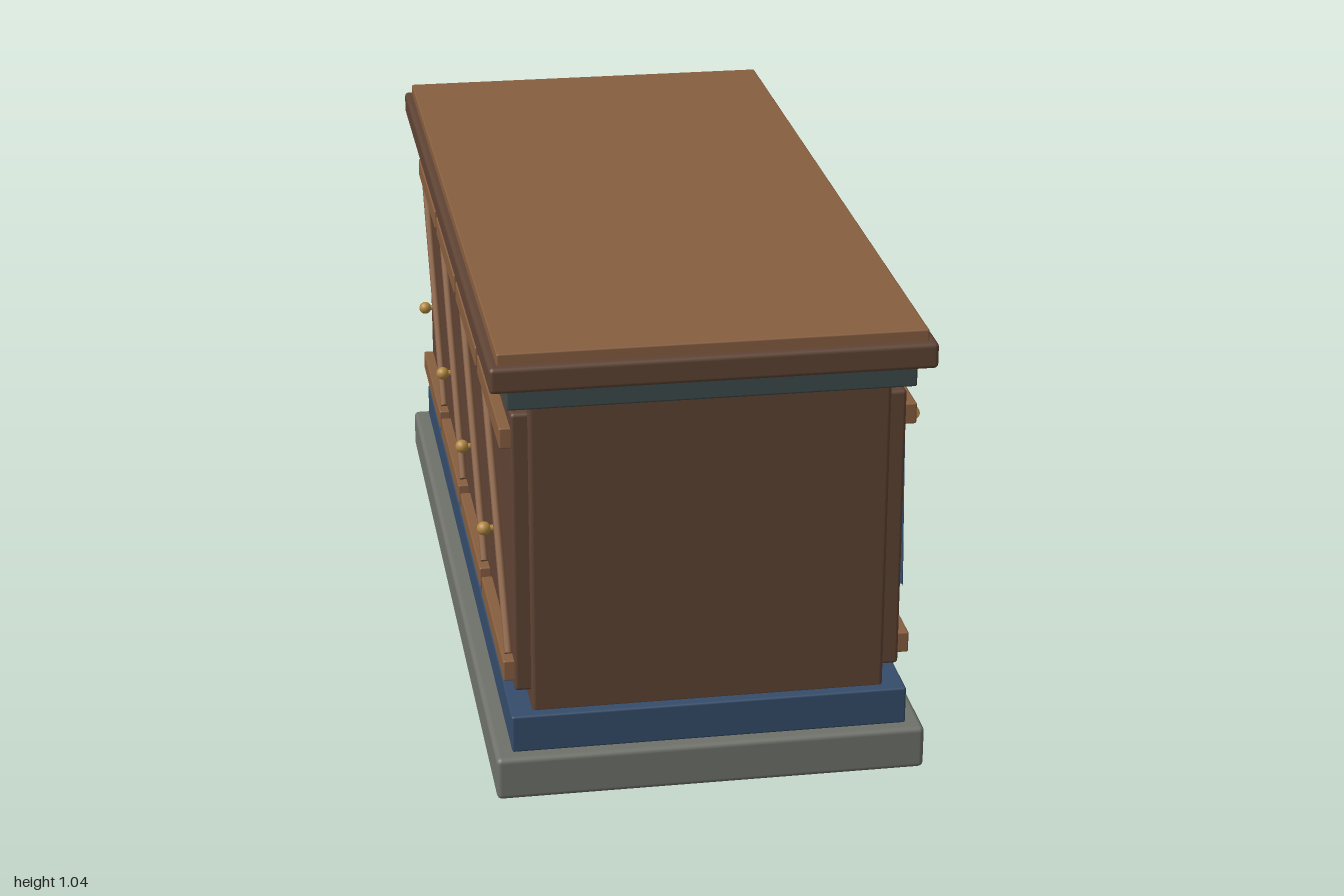
import * as THREE from 'three';
import { RoundedBoxGeometry } from 'three/addons/geometries/RoundedBoxGeometry.js';

function material(name, color, side = THREE.FrontSide) {
  const m = new THREE.MeshStandardMaterial({ color, side });
  m.name = name;
  return m;
}

export function createModel() {
  const wood = material('dark wood', 0x5f4434);
  const trim = material('light wood', 0x875e3f);
  const stone = material('grey stone', 0x6f716a);
  const teal = material('dark teal paint', 0x3e4b4a);
  const brass = material('brass', 0xb0873f);
  const blue = material('blue', 0x344c6a, THREE.DoubleSide);
  const red = material('red cloth', 0x96463e, THREE.DoubleSide);
  const gold = material('gold cloth', 0xc28642, THREE.DoubleSide);

  const model = new THREE.Group();
  model.name = 'counter';

  function add(parent, name, geometry, mat, x = 0, y = 0, z = 0) {
    const mesh = new THREE.Mesh(geometry, mat);
    mesh.name = name;
    mesh.position.set(x, y, z);
    parent.add(mesh);
    return mesh;
  }

  // Bevelled box given by its extents in x and y and its length in z
  function slab(parent, name, mat, x0, x1, y0, y1, length, bevel) {
    const geo = new RoundedBoxGeometry(x1 - x0, y1 - y0, length, 2, bevel);
    return add(parent, name, geo, mat, (x0 + x1) / 2, (y0 + y1) / 2, 0);
  }

  // Stacked carcass, from the floor up
  slab(model, 'base', stone, -0.478, 0.478, 0, 0.1, 2, 0.012);
  slab(model, 'plinth', blue, -0.44, 0.44, 0.1, 0.187, 1.94, 0.005);
  slab(model, 'body', wood, -0.392, 0.392, 0.18, 0.915, 1.89, 0.01);
  slab(model, 'cornice', teal, -0.44, 0.44, 0.908, 0.958, 1.94, 0.005);
  slab(model, 'counterRim', wood, -0.478, 0.478, 0.958, 1.016, 2, 0.01);
  slab(model, 'counterTop', trim, -0.46, 0.46, 1.01, 1.041, 1.96, 0.004);

  // Hanging cloth with vertical folds that deepen downwards and a wavy hem
  function curtainGeometry() {
    const geo = new THREE.PlaneGeometry(0.33, 1, 48, 12);
    const p = geo.attributes.position;
    for (let i = 0; i < p.count; i++) {
      const s = p.getX(i);
      const drop = 0.5 - p.getY(i);
      const hem = 0.389 + 0.01 * Math.cos(s * Math.PI * 10) + (s > 0.14 ? (s - 0.14) * 0.5 : 0);
      const fold = (0.002 + 0.004 * drop) * Math.sin(s * 75);
      p.setXYZ(i, 0.439 + 0.006 * drop + fold, THREE.MathUtils.lerp(0.81, hem, drop), -s);
    }
    geo.computeVertexNormals();
    return geo;
  }

  // Diagonal brace, rising towards the back
  const low = new THREE.Vector3(0.437, 0.307, 0.185);
  const high = new THREE.Vector3(0.437, 0.781, -0.19);
  function addBrace(door, side) {
    const dir = high.clone().sub(low);
    const mid = low.clone().add(high).multiplyScalar(0.5);
    const geo = new THREE.CylinderGeometry(0.009, 0.009, dir.length(), 8);
    const brace = add(door, 'brace', geo, trim, side * mid.x, mid.y, mid.z);
    brace.quaternion.setFromUnitVectors(new THREE.Vector3(0, 1, 0), dir.normalize());
  }

  function addDoor(side, z, cloth) {
    const door = new THREE.Group();
    door.name = 'door';
    door.position.z = z;
    model.add(door);
    const span = (a, b) => (side > 0 ? [a, b] : [-b, -a]);

    // Panel with an upper and a lower rail
    slab(door, 'doorPanel', wood, ...span(0.385, 0.428), 0.23, 0.885, 0.44, 0.008);
    slab(door, 'upperRail', trim, ...span(0.42, 0.452), 0.804, 0.852, 0.43, 0.004);
    slab(door, 'lowerRail', trim, ...span(0.42, 0.452), 0.254, 0.303, 0.43, 0.004);

    // Knob on a short stem
    const stem = new THREE.CylinderGeometry(0.007, 0.007, 0.03, 10).rotateZ(Math.PI / 2);
    add(door, 'knobStem', stem, brass, side * 0.435, 0.45, -0.16);
    add(door, 'knob', new THREE.SphereGeometry(0.016, 16, 12), brass, side * 0.45, 0.45, -0.16);

    if (cloth) {
      add(door, 'curtain', curtainGeometry(), cloth);
      const rod = new THREE.CylinderGeometry(0.015, 0.015, 0.42, 12).rotateX(Math.PI / 2);
      add(door, 'curtainRod', rod, brass, side * 0.445, 0.826, 0);
    } else {
      addBrace(door, side);
    }
  }

  // Four doors on each long side; three on the left side carry curtains
  const cloths = [blue, red, gold, null];
  cloths.forEach((cloth, i) => {
    const z = 0.7125 - i * 0.475;
    addDoor(1, z, cloth);
    addDoor(-1, z, null);
  });

  return model;
}
